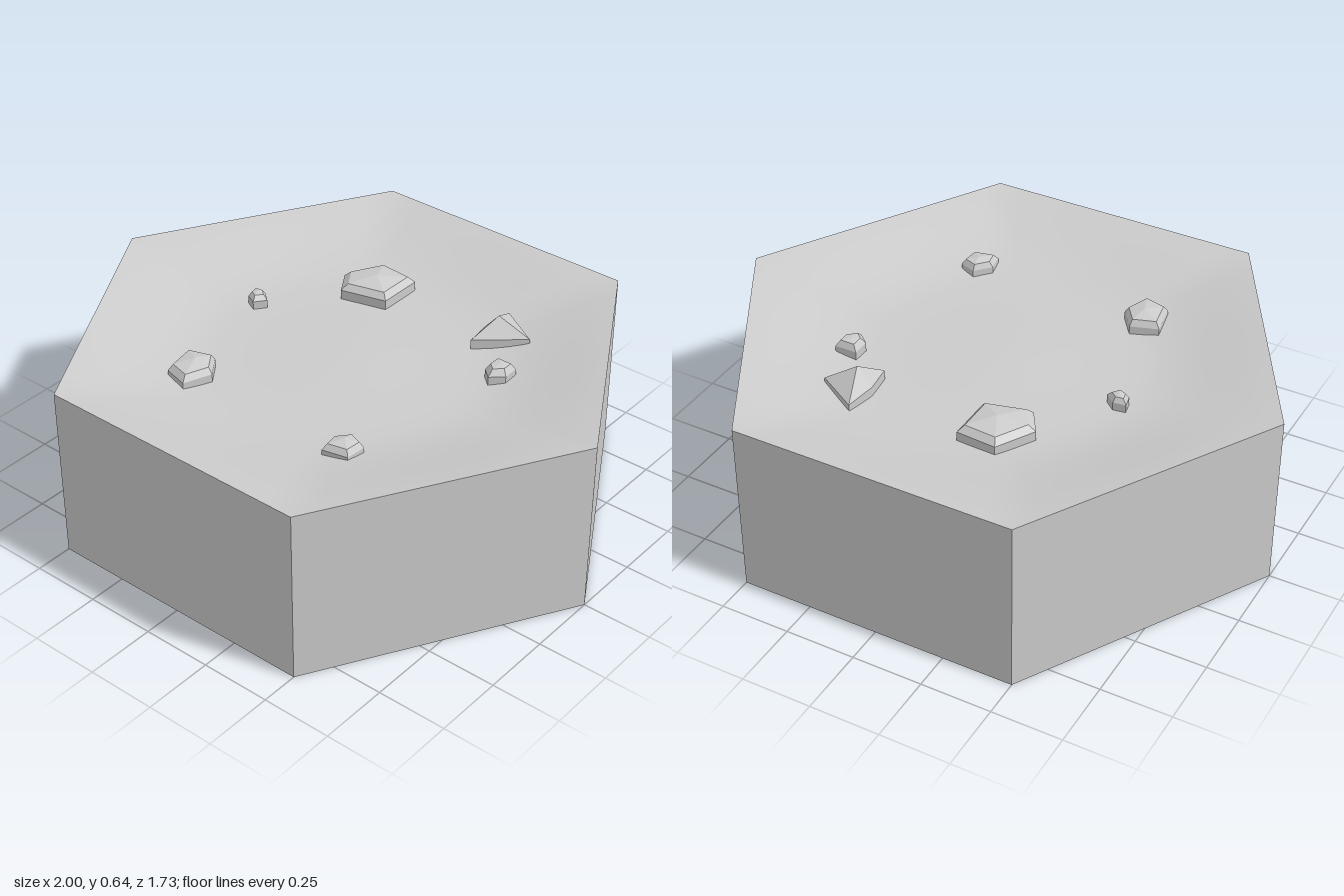
import * as THREE from 'three';
import { ConvexGeometry } from 'three/addons/geometries/ConvexGeometry.js';

const HEIGHT = 0.63;
const grey = new THREE.MeshStandardMaterial({ color: 0xcccccc });
const greyFlat = new THREE.MeshStandardMaterial({ color: 0xcccccc, flatShading: true });

function part(name, geometry, material) {
  const mesh = new THREE.Mesh(geometry, material);
  mesh.name = name;
  return mesh;
}

// Depth of the hollow: t is 0 at the centre and 1 at the rim
function hollowDepth(t) {
  const slope = THREE.MathUtils.smoothstep(1.15 - t, 0, 0.65);
  const rim = THREE.MathUtils.smoothstep(0.15, 0, 0.65);
  return 0.085 * (slope - rim) / (1 - rim) - 0.008 * (1 - THREE.MathUtils.smoothstep(t, 0, 0.4));
}

// Smooth dished top: a disc whose rings change from round to hexagonal
function dishedTop() {
  const geo = new THREE.RingGeometry(0.001, 1, 72, 20);
  geo.rotateX(-Math.PI / 2);
  const pos = geo.attributes.position;
  const sector = Math.PI / 3;
  for (let i = 0; i < pos.count; i++) {
    const x = pos.getX(i), z = pos.getZ(i);
    const t = Math.hypot(x, z);
    const angle = Math.atan2(z, x) + 2 * Math.PI;
    const hex = Math.cos(sector / 2) / Math.cos((angle % sector) - sector / 2);
    const k = THREE.MathUtils.lerp(0.9, hex, t * t);
    pos.setXYZ(i, x * k, HEIGHT - hollowDepth(t), z * k);
  }
  geo.computeVertexNormals();
  return geo;
}

// Faceted stone: base outline [x, z], shoulder height, inset upper rim, peak point
function stone({ outline, shoulder, inset, rimY, peak }) {
  const points = [new THREE.Vector3(...peak)];
  for (const [x, z] of outline) {
    points.push(new THREE.Vector3(x, 0.53, z), new THREE.Vector3(x, shoulder, z));
    if (inset) {
      points.push(new THREE.Vector3(
        THREE.MathUtils.lerp(x, peak[0], inset), rimY, THREE.MathUtils.lerp(z, peak[2], inset)));
    }
  }
  return new ConvexGeometry(points);
}

const STONES = [
  { name: 'largeStone', shoulder: 0.58, inset: 0.2, rimY: 0.602, peak: [-0.18, 0.618, -0.38],
    outline: [[-0.305, -0.353], [-0.23, -0.487], [-0.086, -0.476], [-0.086, -0.31], [-0.251, -0.267]] },
  { name: 'pointedStone', shoulder: 0.58, inset: 0, rimY: 0, peak: [0.33, 0.645, -0.4],
    outline: [[0.289, -0.52], [0.44, -0.43], [0.289, -0.3], [0.275, -0.4]] },
  { name: 'rightPebble', shoulder: 0.578, inset: 0.35, rimY: 0.6, peak: [0.468, 0.604, -0.225],
    outline: [[0.428, -0.257], [0.508, -0.257], [0.508, -0.2], [0.465, -0.16], [0.428, -0.193]] },
  { name: 'leftPebble', shoulder: 0.575, inset: 0.4, rimY: 0.592, peak: [-0.455, 0.597, -0.062],
    outline: [[-0.49, -0.085], [-0.445, -0.09], [-0.41, -0.06], [-0.44, -0.02], [-0.48, -0.04]] },
  { name: 'frontLeftStone', shoulder: 0.575, inset: 0.2, rimY: 0.597, peak: [-0.32, 0.61, 0.4],
    outline: [[-0.396, 0.358], [-0.3, 0.326], [-0.246, 0.4], [-0.283, 0.5], [-0.374, 0.476]] },
  { name: 'frontRightStone', shoulder: 0.572, inset: 0.25, rimY: 0.592, peak: [0.342, 0.602, 0.425],
    outline: [[0.289, 0.43], [0.337, 0.374], [0.396, 0.396], [0.39, 0.47], [0.3, 0.49]] },
];

export function createModel() {
  const model = new THREE.Group();
  model.name = 'hexTile';

  // Six side walls with corners on the x axis
  const walls = part('sideWalls',
    new THREE.CylinderGeometry(1, 1, HEIGHT, 6, 1, true, Math.PI / 2), greyFlat);
  walls.position.y = HEIGHT / 2;

  // Flat underside
  const underside = part('underside', new THREE.CircleGeometry(1, 6), grey);
  underside.rotation.x = Math.PI / 2;

  model.add(walls, underside, part('dishedTop', dishedTop(), grey));

  // Scattered stones in the hollow
  for (const s of STONES) model.add(part(s.name, stone(s), greyFlat));
  return model;
}
